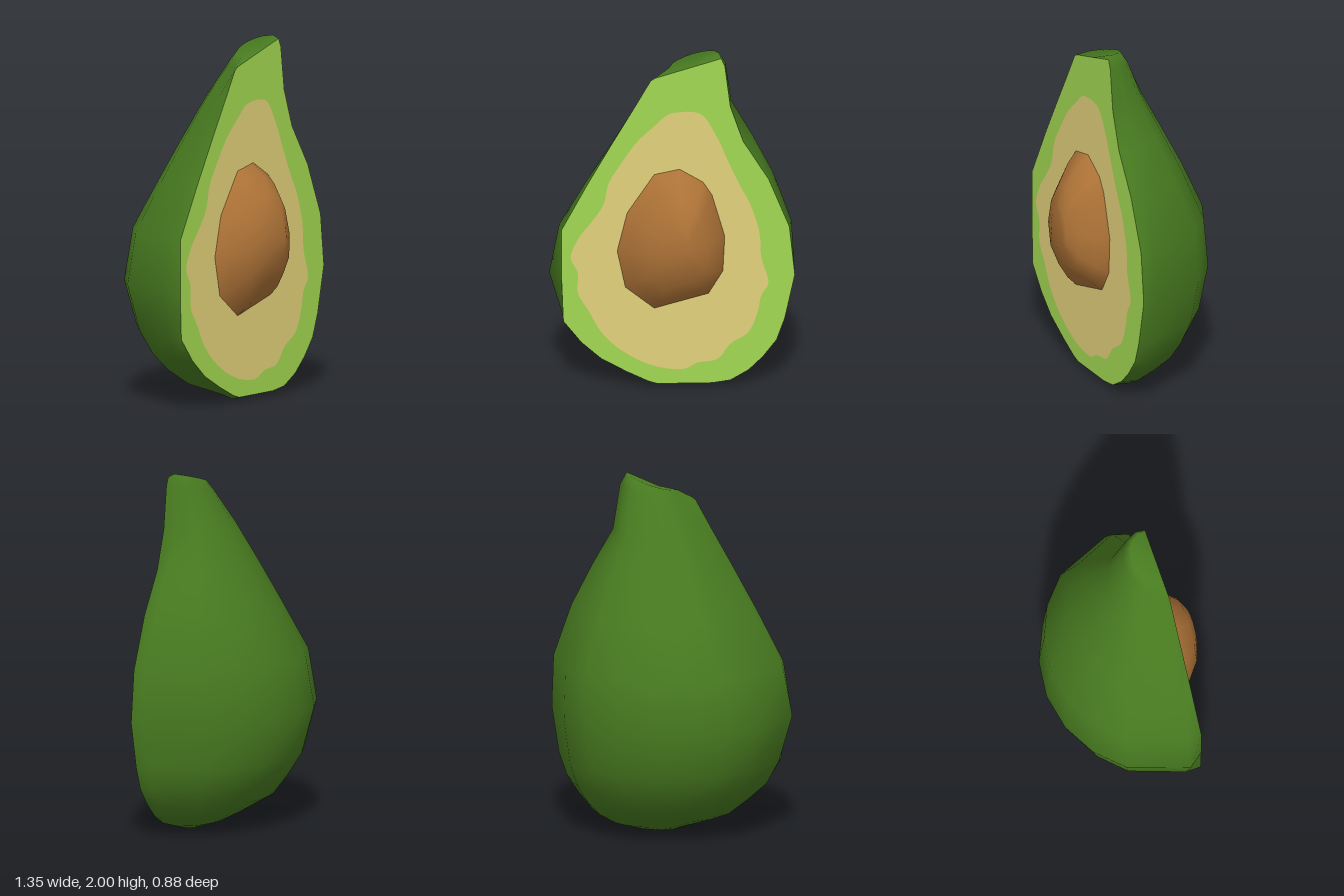
import * as THREE from 'three';

const CUT = 0.245; // z of the flat cut plane

function mat(name, color) {
  const m = new THREE.MeshStandardMaterial({ color });
  m.name = name;
  return m;
}

function meshFrom(name, positions, index, material) {
  const g = new THREE.BufferGeometry();
  g.setAttribute('position', new THREE.Float32BufferAttribute(positions, 3));
  g.setIndex(index);
  g.computeVertexNormals();
  const mesh = new THREE.Mesh(g, material);
  mesh.name = name;
  return mesh;
}

// Cross-sections: y, left cut x, left x, right x, right cut x, back z, tilt
const RINGS = [
  [0.00, -0.08, -0.03, 0.20, 0.22, 0.12, 0],
  [0.04, -0.13, -0.13, 0.34, 0.32, 0.01, 0],
  [0.10, -0.25, -0.32, 0.45, 0.42, -0.10, 0],
  [0.18, -0.39, -0.42, 0.515, 0.50, -0.23, 0],
  [0.28, -0.50, -0.53, 0.585, 0.575, -0.295, 0],
  [0.41, -0.60, -0.60, 0.63, 0.62, -0.375, 0],
  [0.67, -0.61, -0.675, 0.67, 0.675, -0.437, 0],
  [0.96, -0.61, -0.62, 0.66, 0.645, -0.40, 0],
  [1.25, -0.458, -0.45, 0.56, 0.53, -0.26, 0],
  [1.48, -0.33, -0.31, 0.445, 0.39, -0.14, 0],
  [1.69, -0.21, -0.17, 0.328, 0.32, -0.03, 0],
  [1.90, -0.12, -0.05, 0.295, 0.29, 0.075, 0.2],
  [1.957, -0.10, -0.02, 0.26, 0.27, 0.115, 0.31],
];

// Section angles in degrees: broad flat flanks, finer facets across the back
const ANGLES = [0, 36, 54, 72, 90, 108, 126, 144, 180];

// Leathery skin: half-elliptic sections stacked from base to neck
function skin(material) {
  const N = ANGLES.length + 2, last = RINGS.length - 1;
  const pos = [], index = [], left = [], right = [];
  RINGS.forEach(([y, lc, l, r, rc, zb, tilt], j) => {
    const mid = (l + r) / 2, half = (r - l) / 2, zc = 0.16 + tilt * 0.17;
    const rim = j === 0 ? 0.025 : j === last ? -0.022 : 0;
    const at = (x) => y + tilt * (x - mid);
    left.push([lc, at(lc) + rim]);
    right.push([rc, at(rc) + rim]);
    pos.push(lc, at(lc) + rim, CUT);
    for (const deg of ANGLES) {
      const a = THREE.MathUtils.degToRad(deg), x = mid - half * Math.cos(a);
      const depth = Math.pow(Math.abs(Math.sin(a)), 1.1);
      pos.push(x, at(x), zc - (zc - zb) * depth);
    }
    pos.push(rc, at(rc) + rim, CUT);
  });
  for (let j = 0; j < last; j++) {
    for (let i = 0; i < N - 1; i++) {
      const a = j * N + i, b = a + 1, c = a + N, d = c + 1;
      index.push(a, c, b, b, c, d);
    }
  }
  // End caps
  const base = pos.length / 3, top = base + 1;
  pos.push(0.07, 0.025, CUT, 0.085, 1.922, CUT);
  for (let i = 0; i < N - 1; i++) {
    index.push(base, i, i + 1, top, last * N + i + 1, last * N + i);
  }
  return { mesh: meshFrom('skin', pos, index, material), outline: [...left, ...right.reverse()] };
}

function plate(name, points, z, material) {
  const mesh = new THREE.Mesh(new THREE.ShapeGeometry(new THREE.Shape(points)), material);
  mesh.position.z = z;
  mesh.name = name;
  return mesh;
}

const vec2 = (list) => list.map(([x, y]) => new THREE.Vector2(x, y));

// Wavy edge of the ripe inner flesh
const INNER = [
  [0.08, 1.665], [-0.02, 1.65], [-0.10, 1.58], [-0.20, 1.48], [-0.28, 1.36], [-0.35, 1.24],
  [-0.38, 1.11], [-0.45, 1.00], [-0.51, 0.92], [-0.56, 0.80], [-0.52, 0.70], [-0.52, 0.58],
  [-0.46, 0.47], [-0.39, 0.34], [-0.28, 0.23], [-0.12, 0.14], [0.05, 0.11], [0.14, 0.15],
  [0.25, 0.17], [0.32, 0.26], [0.42, 0.33], [0.47, 0.45], [0.49, 0.55], [0.53, 0.63],
  [0.49, 0.78], [0.48, 0.93], [0.43, 1.10], [0.37, 1.22], [0.30, 1.38], [0.25, 1.50], [0.17, 1.64],
];

// Stone outline, counter-clockwise from the top
const PIT = [
  [0.04, 1.32], [-0.10, 1.29], [-0.25, 1.06], [-0.305, 0.83], [-0.26, 0.61], [-0.10, 0.48],
  [0.20, 0.565], [0.28, 0.70], [0.29, 0.91], [0.22, 1.16], [0.17, 1.24],
];

// Stone: outline shrinking towards a rounded front
function pit(material) {
  const cx = 0.04, cy = 0.92, n = PIT.length, pos = [], index = [];
  const layers = [[1, CUT], [0.85, 0.31], [0.6, 0.385], [0.3, 0.425]];
  for (const [s, z] of layers) {
    for (const [x, y] of PIT) pos.push(cx + (x - cx) * s, cy + (y - cy) * s, z);
  }
  const tip = pos.length / 3;
  pos.push(cx + 0.05, cy, 0.44);
  for (let i = 0; i < n; i++) {
    const k = (i + 1) % n;
    for (let j = 0; j < layers.length - 1; j++) {
      const a = j * n + i, b = j * n + k;
      index.push(a, b, a + n, b, b + n, a + n);
    }
    index.push((layers.length - 1) * n + i, (layers.length - 1) * n + k, tip);
  }
  return meshFrom('pit', pos, index, material);
}

export function createModel() {
  const group = new THREE.Group();
  group.name = 'avocadoHalf';
  const body = skin(mat('skinGreen', 0x487b20));
  const inner = new THREE.SplineCurve(vec2([...INNER, INNER[0]])).getPoints(120);
  group.add(
    body.mesh,
    plate('outerFlesh', vec2(body.outline), CUT, mat('fleshGreen', 0xa2d852)),
    plate('innerFlesh', inner, CUT + 0.002, mat('fleshYellow', 0xe2d17a)),
    pit(mat('pitBrown', 0xae7337)),
  );
  return group;
}
